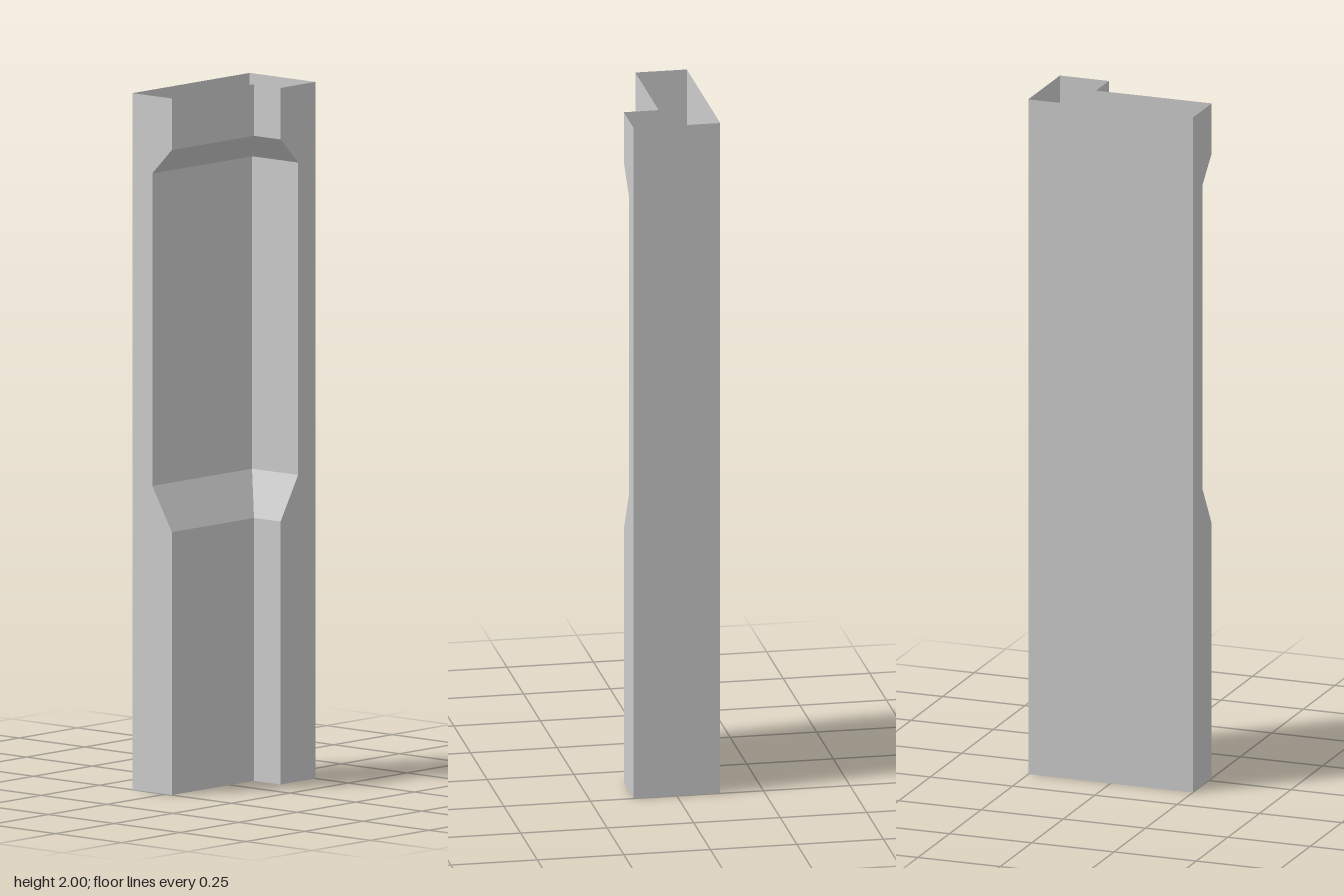
import * as THREE from 'three';

const material = new THREE.MeshStandardMaterial({ color: 0xcccccc, flatShading: true, side: THREE.DoubleSide });

// Height levels with the inner corner line (x, z); the middle is recessed.
const levels = [
  { y: 0, x: 0.024, z: -0.101 },
  { y: 0.755, x: 0.024, z: -0.101 },
  { y: 0.88, x: -0.05, z: -0.176 },
  { y: 1.777, x: -0.05, z: -0.176 },
  { y: 1.852, x: 0.024, z: -0.101 },
  { y: 2, x: 0.024, z: -0.101 },
];

// L-shaped outline at one level, counter-clockwise seen from above.
const outline = ({ x, z }) => [
  [-0.125, 0.25], [x, 0.25], [x, z], [0.125, z], [0.125, -0.25], [-0.125, -0.25],
];

// One vertical strip of the outline, lofted through all the levels.
function wallStrip(name, side) {
  const positions = [];
  const indices = [];
  levels.forEach((level, i) => {
    const points = outline(level);
    const a = points[side];
    const b = points[(side + 1) % points.length];
    positions.push(a[0], level.y, a[1], b[0], level.y, b[1]);
    if (i > 0) {
      const k = 2 * (i - 1);
      indices.push(k, k + 1, k + 3, k, k + 3, k + 2);
    }
  });
  const geometry = new THREE.BufferGeometry();
  geometry.setAttribute('position', new THREE.Float32BufferAttribute(positions, 3));
  geometry.setIndex(indices);
  geometry.computeVertexNormals();
  const mesh = new THREE.Mesh(geometry, material);
  mesh.name = name;
  return mesh;
}

export function createModel() {
  const group = new THREE.Group();
  group.name = 'cornerWall';
  // Hollow shell, open at the top and bottom.
  const names = ['frontEnd', 'innerLongFace', 'innerShortFace', 'sideEnd', 'outerBackFace', 'outerLongFace'];
  names.forEach((name, side) => group.add(wallStrip(name, side)));
  return group;
}
